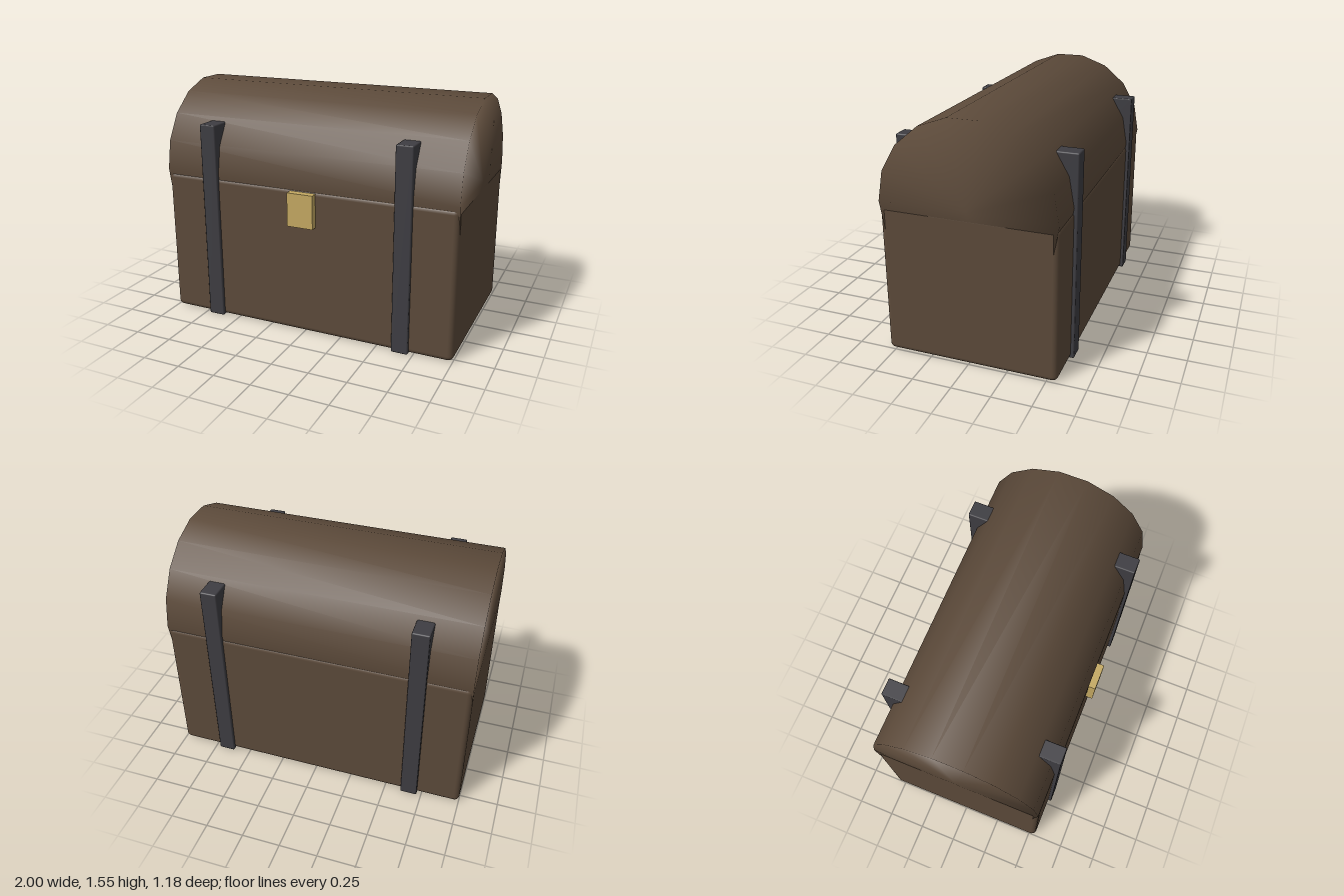
import * as THREE from 'three';
import { RoundedBoxGeometry } from 'three/addons/geometries/RoundedBoxGeometry.js';
import { mergeVertices } from 'three/addons/utils/BufferGeometryUtils.js';

const CENTRE_Z = -0.01;
const leather = new THREE.MeshStandardMaterial({ color: 0x5c4a3a });
const iron = new THREE.MeshStandardMaterial({ color: 0x3e3d42 });
const brass = new THREE.MeshStandardMaterial({ color: 0xc4a962 });

export function createModel() {
  const chest = new THREE.Group();
  chest.name = 'chest';

  const add = (name, geometry, material, x, y, z) => {
    const mesh = new THREE.Mesh(geometry, material);
    mesh.name = name;
    mesh.position.set(x, y, z);
    chest.add(mesh);
    return mesh;
  };

  // Softly rounded lower box
  add('body', new RoundedBoxGeometry(2, 0.98, 1.11, 3, 0.035), leather, 0, 0.49, CENTRE_Z);

  // Barrel lid: an 18-sided drum lying along x, its lower half sunk in the body,
  // welded so the shading rolls over the end rims
  let drum = new THREE.CylinderGeometry(0.555, 0.555, 1.999, 18);
  drum.rotateZ(Math.PI / 2);
  drum.deleteAttribute('normal');
  drum.deleteAttribute('uv');
  drum = mergeVertices(drum);
  drum.computeVertexNormals();
  add('lid', drum, leather, 0, 1.0, CENTRE_Z);

  // Each strap is one slab passing through the chest from front to back
  for (const [name, side] of [['leftStrap', 1], ['rightStrap', -1]]) {
    add(name, new RoundedBoxGeometry(0.11, 1.33, 1.155, 1, 0.008), iron,
      side * 0.665, 0.666, CENTRE_Z);
  }

  // Front clasp plate
  add('clasp', new THREE.BoxGeometry(0.175, 0.22, 0.07), brass, 0, 0.85, 0.555);

  return chest;
}
